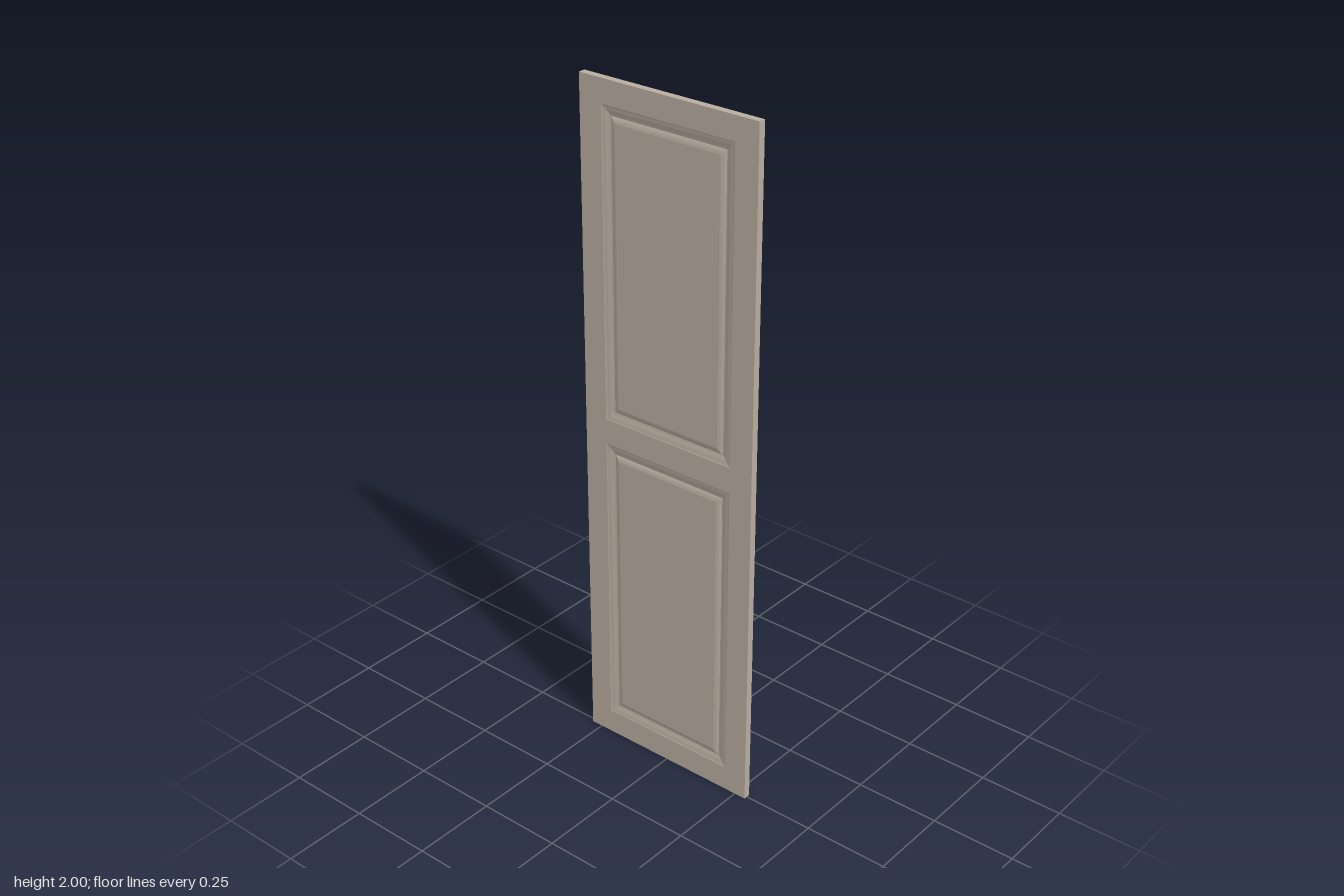
import * as THREE from 'three';
import { mergeGeometries } from 'three/addons/utils/BufferGeometryUtils.js';

const W = 0.285, H = 2, FRONT = 0.0105;
const PANEL_W = 0.213;
const PANELS = [['lower', 0.074, 0.966], ['upper', 1.041, 1.933]];

// Moulding sections as [inset, depth below the face]
const OGEE = [[0, 0], [0.003, 0.0015], [0.009, 0.002], [0.015, 0.003], [0.021, 0.0055], [0.028, 0.0065]];
const BEVEL = [[0.028, 0.0065], [0.032, 0.004], [0.038, 0.002], [0.044, 0.001]];

// Corners of a rectangle inset from the panel edge, counter-clockwise
function corners(y0, y1, inset, depth) {
  const x = PANEL_W - inset, z = FRONT - depth;
  return [[-x, y0 + inset, z], [x, y0 + inset, z], [x, y1 - inset, z], [-x, y1 - inset, z]];
}

// Four mitred strips following a section, smooth along the section only
function mouldingGeometry(y0, y1, section) {
  const sides = [];
  for (let s = 0; s < 4; s++) {
    const pos = [], idx = [];
    section.forEach(([inset, depth], i) => {
      const c = corners(y0, y1, inset, depth);
      pos.push(...c[s], ...c[(s + 1) % 4]);
      if (i) {
        const a = 2 * (i - 1);
        idx.push(a, a + 1, a + 3, a, a + 3, a + 2);
      }
    });
    const g = new THREE.BufferGeometry();
    g.setAttribute('position', new THREE.Float32BufferAttribute(pos, 3));
    g.setIndex(idx);
    g.computeVertexNormals();
    sides.push(g);
  }
  return mergeGeometries(sides);
}

function rectPath(PathType, x, y0, y1) {
  return new PathType([[-x, y0], [x, y0], [x, y1], [-x, y1]].map(p => new THREE.Vector2(...p)));
}

export function createModel() {
  const door = new THREE.Group();
  door.name = 'doorLeaf';
  const paint = new THREE.MeshStandardMaterial({ color: 0xb9ada0 });
  const add = (name, geometry) => {
    const mesh = new THREE.Mesh(geometry, paint);
    mesh.name = name;
    door.add(mesh);
    return mesh;
  };

  // Slab back and edges: a box with its front face left out
  const slab = new THREE.BoxGeometry(2 * W, H, 2 * FRONT);
  const index = Array.from(slab.index.array);
  index.splice(24, 6);
  slab.setIndex(index);
  slab.clearGroups();
  add('slab', slab).position.y = H / 2;

  // Front face of stiles and rails, open at the panels
  const face = rectPath(THREE.Shape, W, 0, H);
  for (const [, y0, y1] of PANELS) face.holes.push(rectPath(THREE.Path, PANEL_W, y0, y1));
  add('stilesAndRails', new THREE.ShapeGeometry(face)).position.z = FRONT;

  // Recessed moulding and raised field of each panel
  for (const [name, y0, y1] of PANELS) {
    add(name + 'PanelMoulding', mouldingGeometry(y0, y1, OGEE));
    add(name + 'PanelBevel', mouldingGeometry(y0, y1, BEVEL));
    const [inset, depth] = BEVEL[BEVEL.length - 1];
    const field = add(name + 'PanelField', new THREE.PlaneGeometry(2 * (PANEL_W - inset), y1 - y0 - 2 * inset));
    field.position.set(0, (y0 + y1) / 2, FRONT - depth);
  }
  return door;
}
